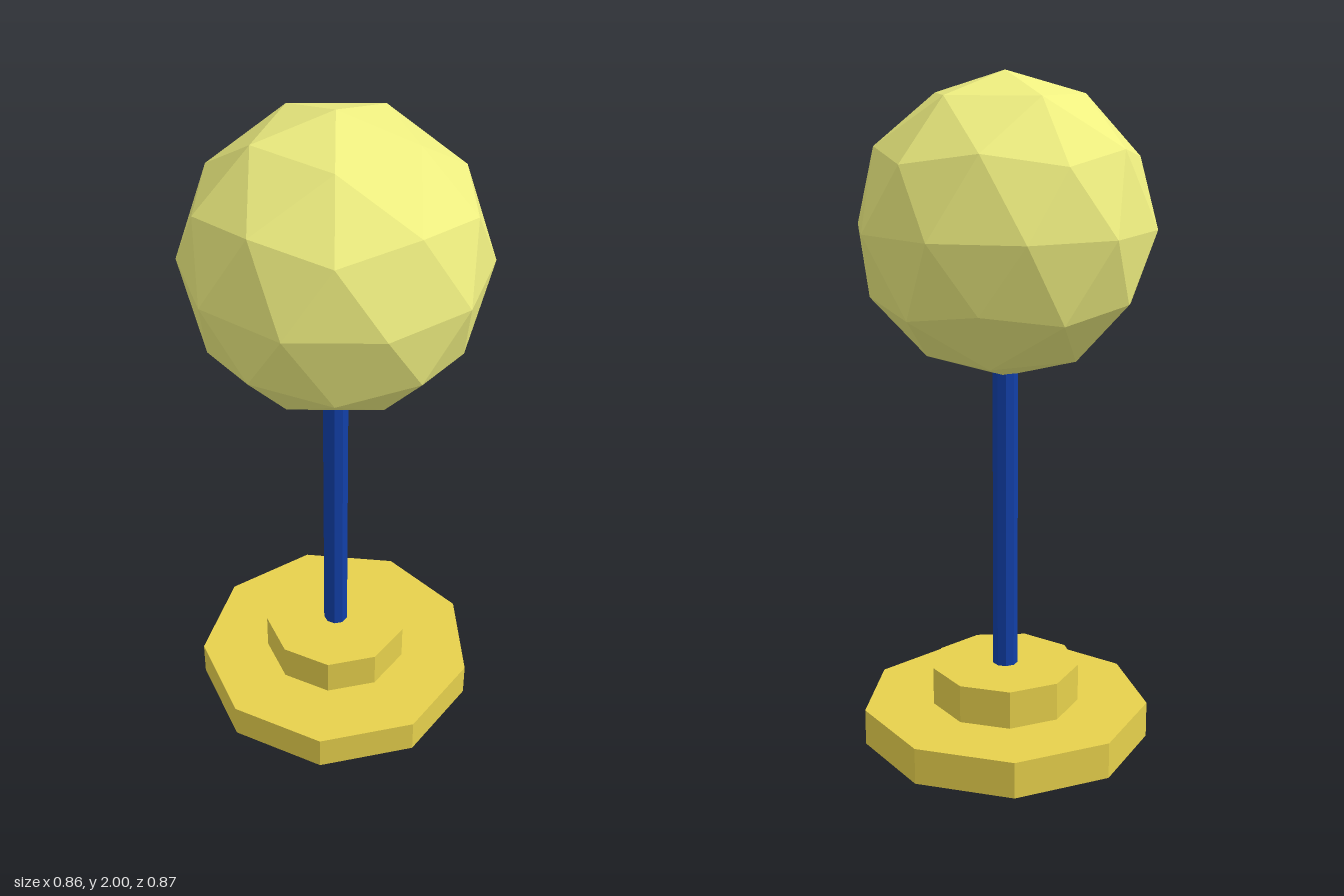
import * as THREE from 'three';

const material = (color) => new THREE.MeshStandardMaterial({ color, flatShading: true });

export function createModel() {
  const model = new THREE.Group();
  const gold = material(0xe6d04c);
  const blue = material(0x123fa8);
  const paleYellow = material(0xeeee80);

  // Nine-sided prism with a flat side to the front and a corner to the back
  function prism(name, radius, bottom, top, mat) {
    const geometry = new THREE.CylinderGeometry(radius, radius, top - bottom, 9, 1, false, Math.PI);
    const mesh = new THREE.Mesh(geometry, mat);
    mesh.name = name;
    mesh.position.y = (bottom + top) / 2;
    model.add(mesh);
  }

  // Stepped foot and pole
  prism('lowerBase', 0.437, 0, 0.11, gold);
  prism('upperBase', 0.225, 0.11, 0.226, gold);
  prism('pole', 0.038, 0.226, 1.2, blue);

  // Faceted globe, tilted so that a five-way corner points straight up
  const radius = 0.436;
  const globeGeometry = new THREE.IcosahedronGeometry(radius, 1);
  globeGeometry.rotateZ(-Math.atan(2 / (1 + Math.sqrt(5))));
  const globe = new THREE.Mesh(globeGeometry, paleYellow);
  globe.name = 'globe';
  globe.position.y = 2 - radius;
  model.add(globe);

  return model;
}
